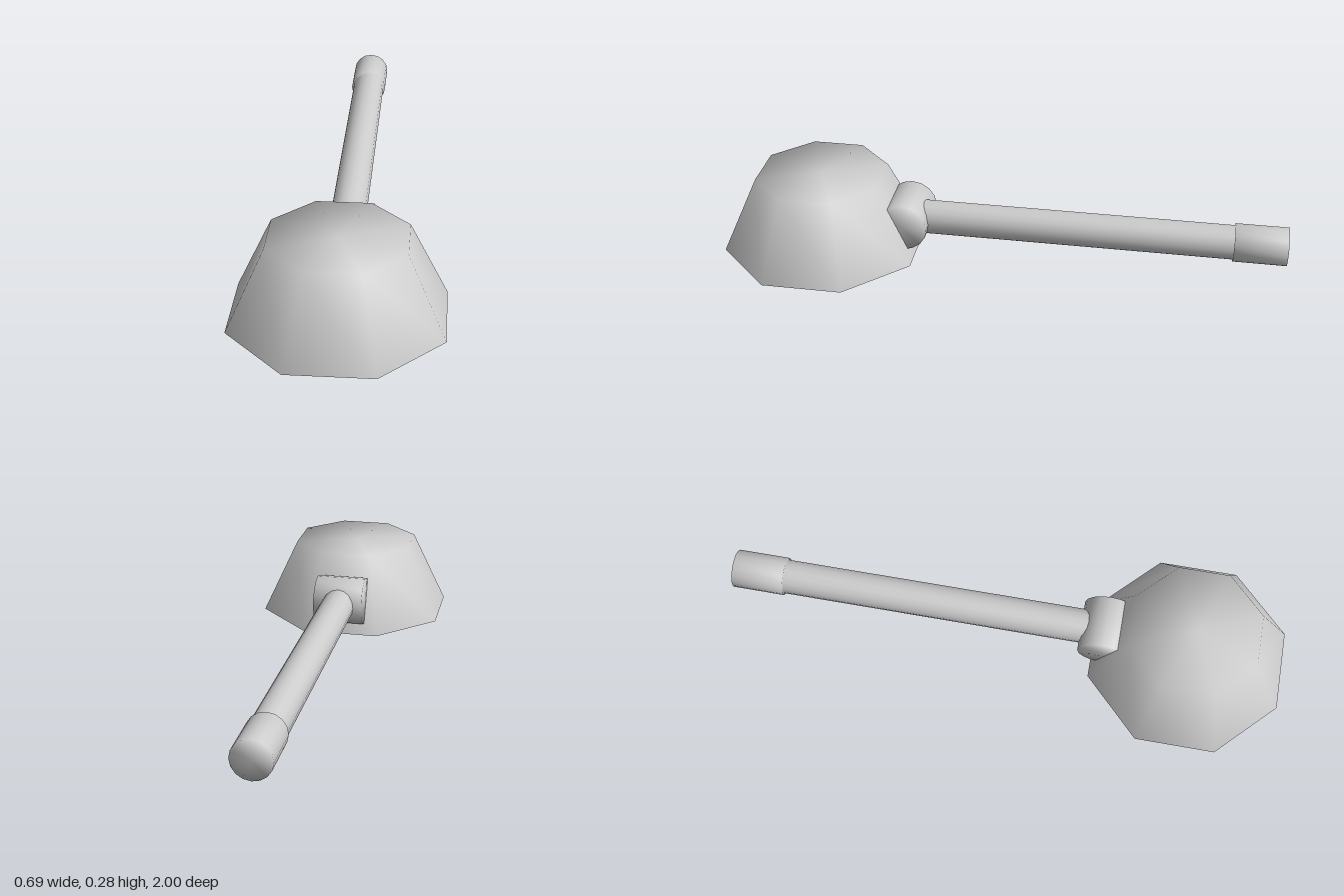
import * as THREE from 'three';
import { mergeVertices } from 'three/addons/utils/BufferGeometryUtils.js';

const AXIS_Y = 0.126; // height of the handle's centre line

// Weld a geometry so its normals blend over every edge
function soften(geometry) {
  geometry.deleteAttribute('normal');
  geometry.deleteAttribute('uv');
  const welded = mergeVertices(geometry, 1e-4);
  welded.computeVertexNormals();
  return welded;
}

function addPart(group, name, geometry, material) {
  const mesh = new THREE.Mesh(geometry, material);
  mesh.name = name;
  group.add(mesh);
  return mesh;
}

// Closed rod running along z between two positions
function rodAlongZ(radius, zFront, zBack) {
  return soften(new THREE.CylinderGeometry(radius, radius, zFront - zBack, 16))
    .rotateX(Math.PI / 2)
    .translate(0, AXIS_Y, (zFront + zBack) / 2);
}

export function createModel() {
  const group = new THREE.Group();
  const material = new THREE.MeshStandardMaterial({ color: 0xcccccc });
  const shellMaterial = new THREE.MeshStandardMaterial({ color: 0xcccccc, side: THREE.DoubleSide });

  // Eight-sided cup: closed on top, open underneath
  const corner = 1 / Math.cos(Math.PI / 8);
  const height = 0.276;
  const cup = new THREE.LatheGeometry([
    new THREE.Vector2(0.343 * corner, 0),
    new THREE.Vector2(0.22 * corner, height),
    new THREE.Vector2(0, height),
  ], 8, Math.PI / 8);
  addPart(group, 'cup', soften(cup), shellMaterial).position.z = 0.657;

  // Hinge barrel lying across the back of the cup
  const hinge = soften(new THREE.CylinderGeometry(0.088, 0.088, 0.184, 16)).rotateZ(Math.PI / 2);
  addPart(group, 'hinge', hinge, material).position.set(0, AXIS_Y, 0.35);

  // Long handle with a thicker grip at its end
  addPart(group, 'handle', rodAlongZ(0.061, 0.33, -0.9), material);
  addPart(group, 'grip', rodAlongZ(0.068, -0.815, -1), material);

  return group;
}
